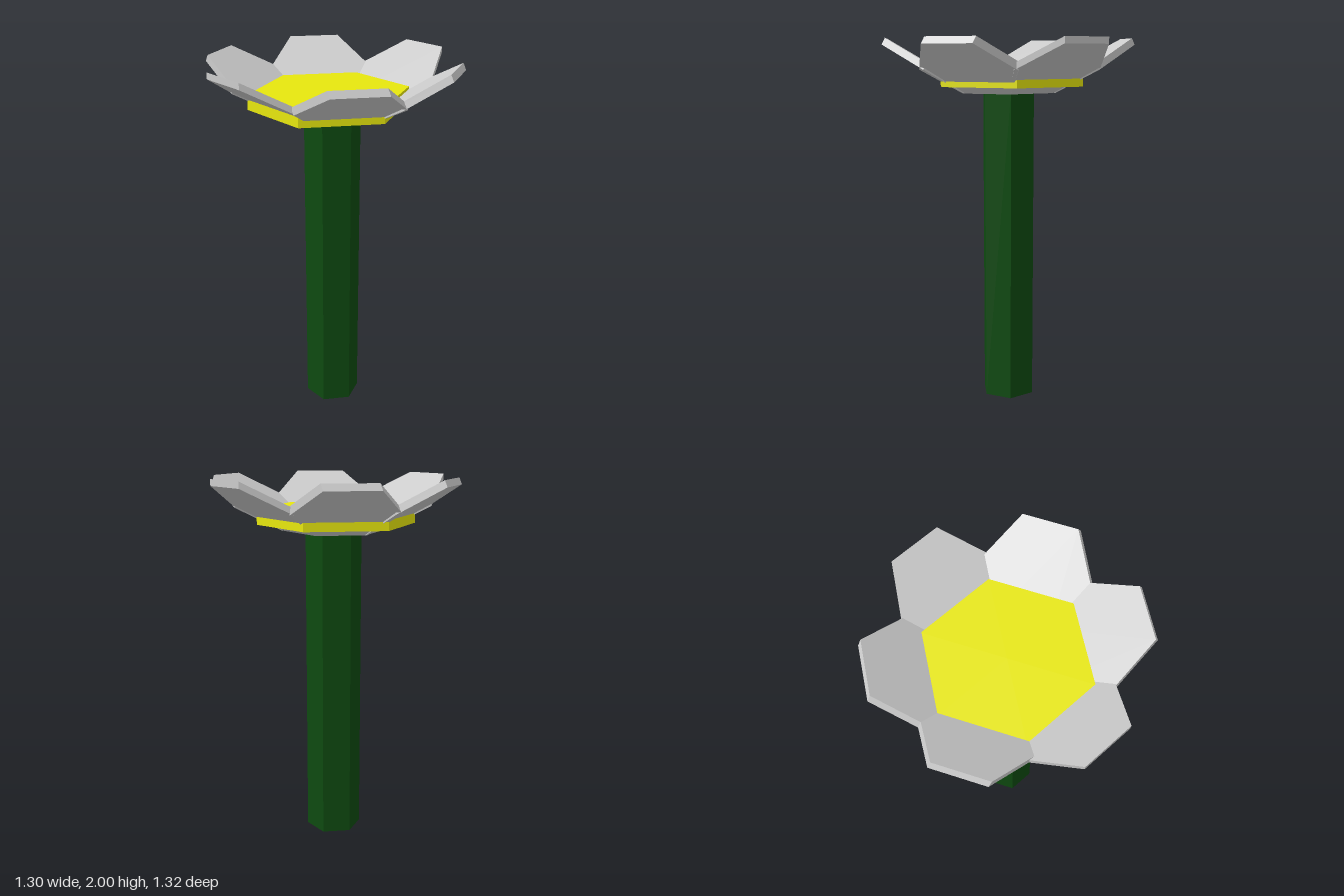
import * as THREE from 'three';

const mat = (color) => new THREE.MeshStandardMaterial({ color, flatShading: true });

// Hexagonal prism with corners on +x and -x
function hexPrism(name, radius, bottom, top, x, z, material) {
  const geo = new THREE.CylinderGeometry(radius, radius, top - bottom, 6);
  geo.rotateY(Math.PI / 6);
  const mesh = new THREE.Mesh(geo, material);
  mesh.name = name;
  mesh.position.set(x, (top + bottom) / 2, z);
  return mesh;
}

// Sloping six-sided slab; its lower face is the upper one moved down and sideways
function petalGeometry(angle, shiftX, tipRadius) {
  const inner = 0.225, half = 0.138, wide = 0.275;
  const innerY = 1.748, tipY = 2.0, drop = 0.034;
  const mid = (inner + tipRadius) / 2, midY = (innerY + tipY) / 2;
  const outX = 0.02 * Math.sign(Math.round(Math.sin(angle) * 10));
  const outline = [
    [-half, tipY, tipRadius], [half, tipY, tipRadius], [wide, midY, mid],
    [half, innerY, inner], [-half, innerY, inner], [-wide, midY, mid],
  ];
  const up = new THREE.Vector3(0, 1, 0);
  const upper = outline.map((p) => {
    const v = new THREE.Vector3(...p).applyAxisAngle(up, angle);
    v.x += shiftX;
    return v;
  });
  const lower = upper.map((v) => v.clone().add(new THREE.Vector3(outX, -drop, 0)));
  const pos = [];
  const tri = (...vs) => vs.forEach((v) => pos.push(v.x, v.y, v.z));
  for (let i = 0; i < 6; i++) {
    const j = (i + 1) % 6;
    if (i > 0 && i < 5) {
      tri(upper[0], upper[i], upper[j]);
      tri(lower[0], lower[j], lower[i]);
    }
    tri(upper[i], lower[i], lower[j]);
    tri(upper[i], lower[j], upper[j]);
  }
  const geo = new THREE.BufferGeometry();
  geo.setAttribute('position', new THREE.Float32BufferAttribute(pos, 3));
  geo.computeVertexNormals();
  return geo;
}

export function createModel() {
  const model = new THREE.Group();
  model.name = 'flower';

  // Stem and flower centre
  model.add(hexPrism('stem', 0.152, 0, 1.715, -0.007, 0, mat(0x0e4a10)));
  model.add(hexPrism('flowerCentre', 0.428, 1.75, 1.838, -0.02, 0.011, mat(0xe7e70e)));

  // Ring of six petals
  const petals = new THREE.Group();
  petals.name = 'petals';
  const grey = mat(0xcccccc);
  for (let i = 0; i < 6; i++) {
    const shift = i === 0 ? -0.02 : i === 3 ? 0 : -0.003;
    const tip = i % 3 === 0 ? 0.66 : 0.648;
    const petal = new THREE.Mesh(petalGeometry((i * Math.PI) / 3, shift, tip), grey);
    petal.name = `petal${i + 1}`;
    petals.add(petal);
  }
  model.add(petals);
  return model;
}
